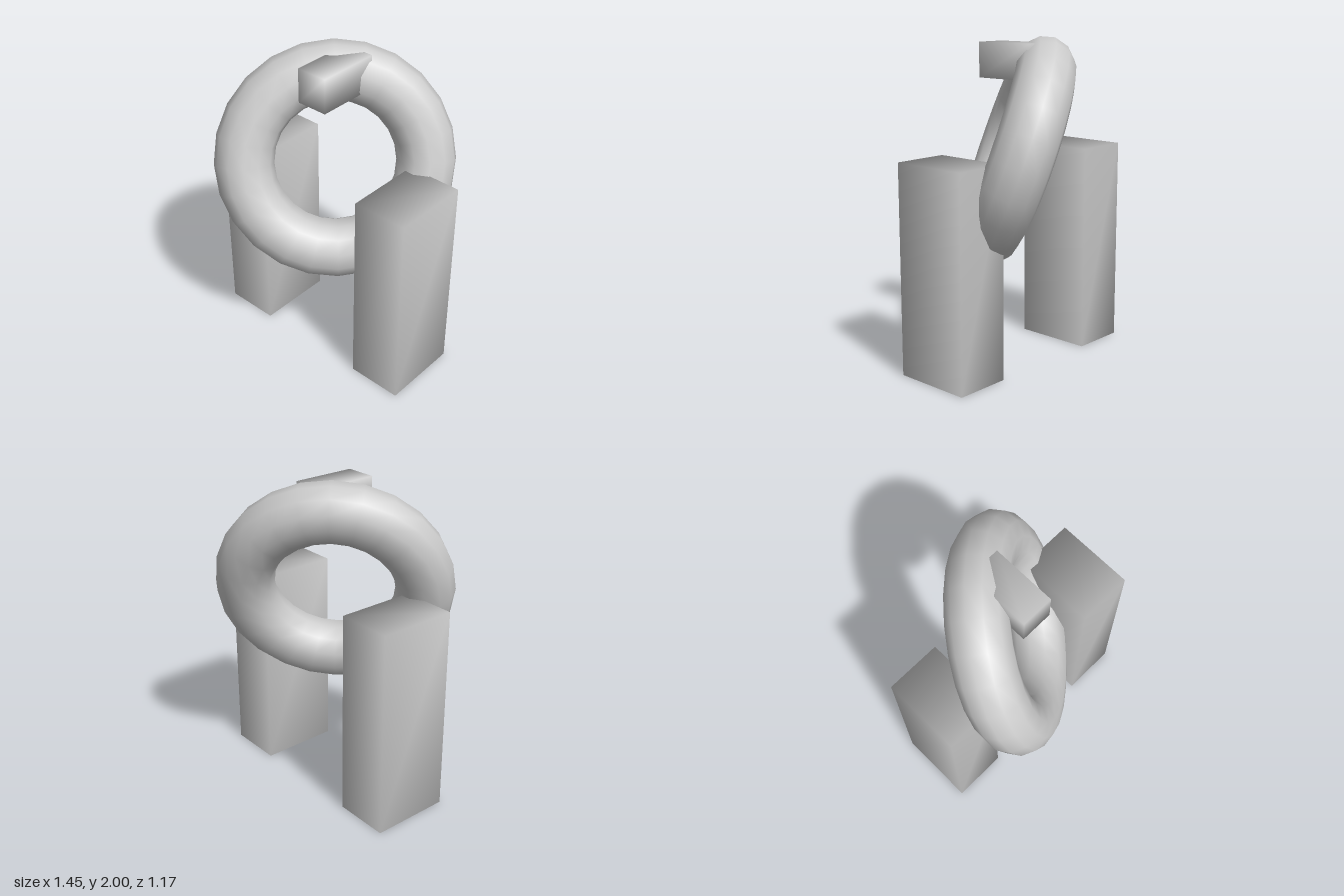
import * as THREE from 'three';
import { mergeVertices } from 'three/addons/utils/BufferGeometryUtils.js';

const grey = new THREE.MeshStandardMaterial({ color: 0xcccccc });
grey.name = 'plain grey';

// Box whose corners share one soft normal
function softBox(name, w, h, d, x, y, z) {
  const box = new THREE.BoxGeometry(w, h, d);
  box.deleteAttribute('normal');
  box.deleteAttribute('uv');
  const geometry = mergeVertices(box);
  geometry.computeVertexNormals();
  const mesh = new THREE.Mesh(geometry, grey);
  mesh.name = name;
  mesh.position.set(x, y, z);
  return mesh;
}

export function createModel() {
  const model = new THREE.Group();
  model.name = 'ringOnPosts';

  // Two upright posts
  for (const [name, side] of [['leftPost', 1], ['rightPost', -1]]) {
    model.add(softBox(name, 0.35, 1.3, 0.5, side * 0.55, 0.65, 0));
  }

  // Ring turned to one side and tipped slightly upward
  const ring = new THREE.Mesh(new THREE.TorusGeometry(0.547, 0.181, 12, 24), grey);
  ring.name = 'ring';
  ring.lookAt(2, 1, 2);
  ring.position.y = 1.306;
  model.add(ring);

  // Small block at the top of the ring
  model.add(softBox('topBlock', 0.2, 0.215, 0.4, 0, 1.857, 0));

  return model;
}
